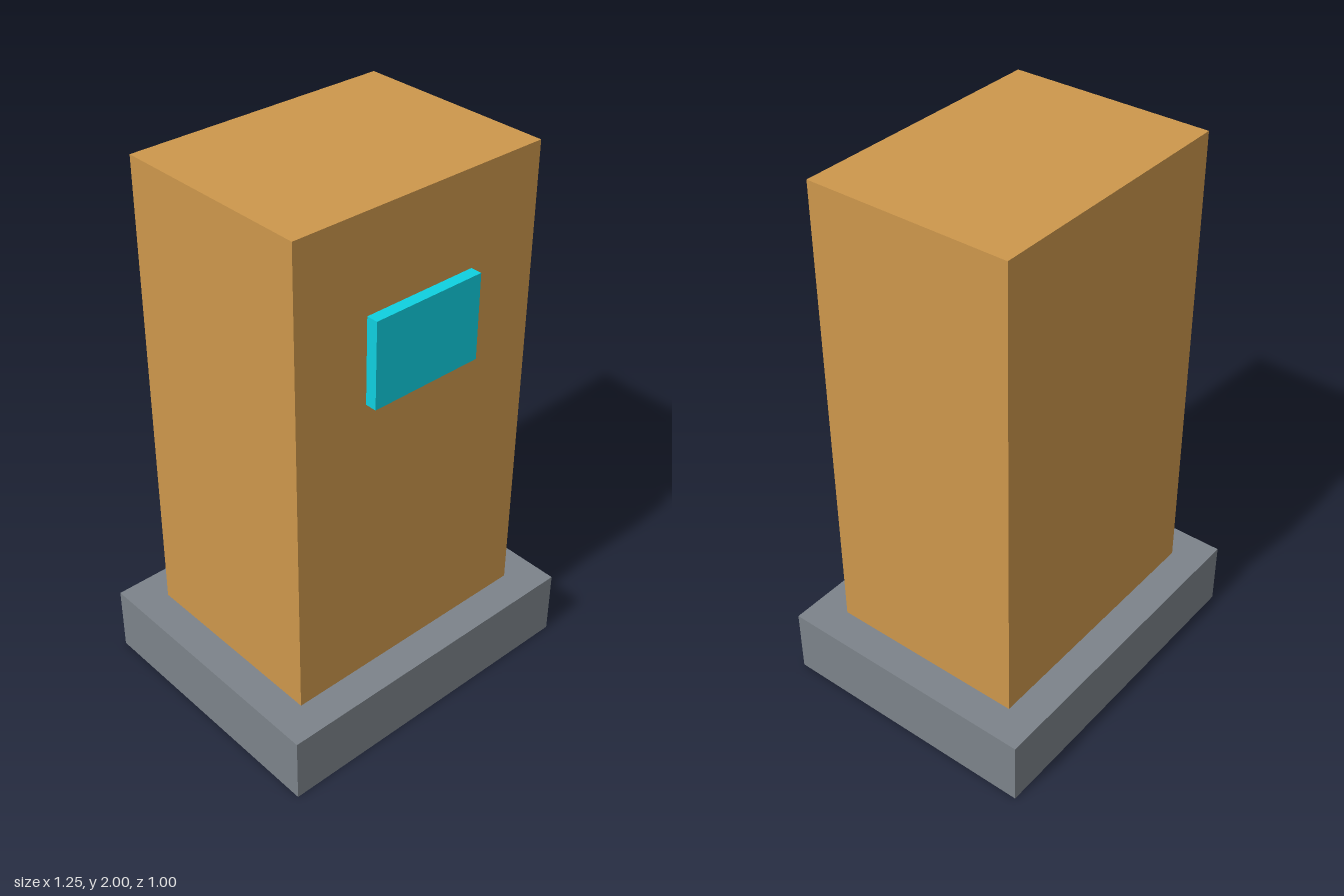
import * as THREE from 'three';

// Adds a named box spanning y0..y1 and z0..z1, centred on x = 0
function addBox(group, name, color, width, [y0, y1], [z0, z1]) {
  const mesh = new THREE.Mesh(
    new THREE.BoxGeometry(width, y1 - y0, z1 - z0),
    new THREE.MeshStandardMaterial({ color })
  );
  mesh.name = name;
  mesh.position.set(0, (y0 + y1) / 2, (z0 + z1) / 2);
  group.add(mesh);
}

export function createModel() {
  const group = new THREE.Group();
  group.name = 'kiosk';

  // Wide plinth
  addBox(group, 'base', 0x7c838a, 1.25, [0, 0.25], [-0.5, 0.5]);
  // Tall cabinet
  addBox(group, 'body', 0xcd974c, 1, [0.25, 2], [-0.375, 0.375]);
  // Raised panel on the front
  addBox(group, 'screen', 0x0fd0e0, 0.4375, [1.345, 1.657], [0.375, 0.417]);

  return group;
}
